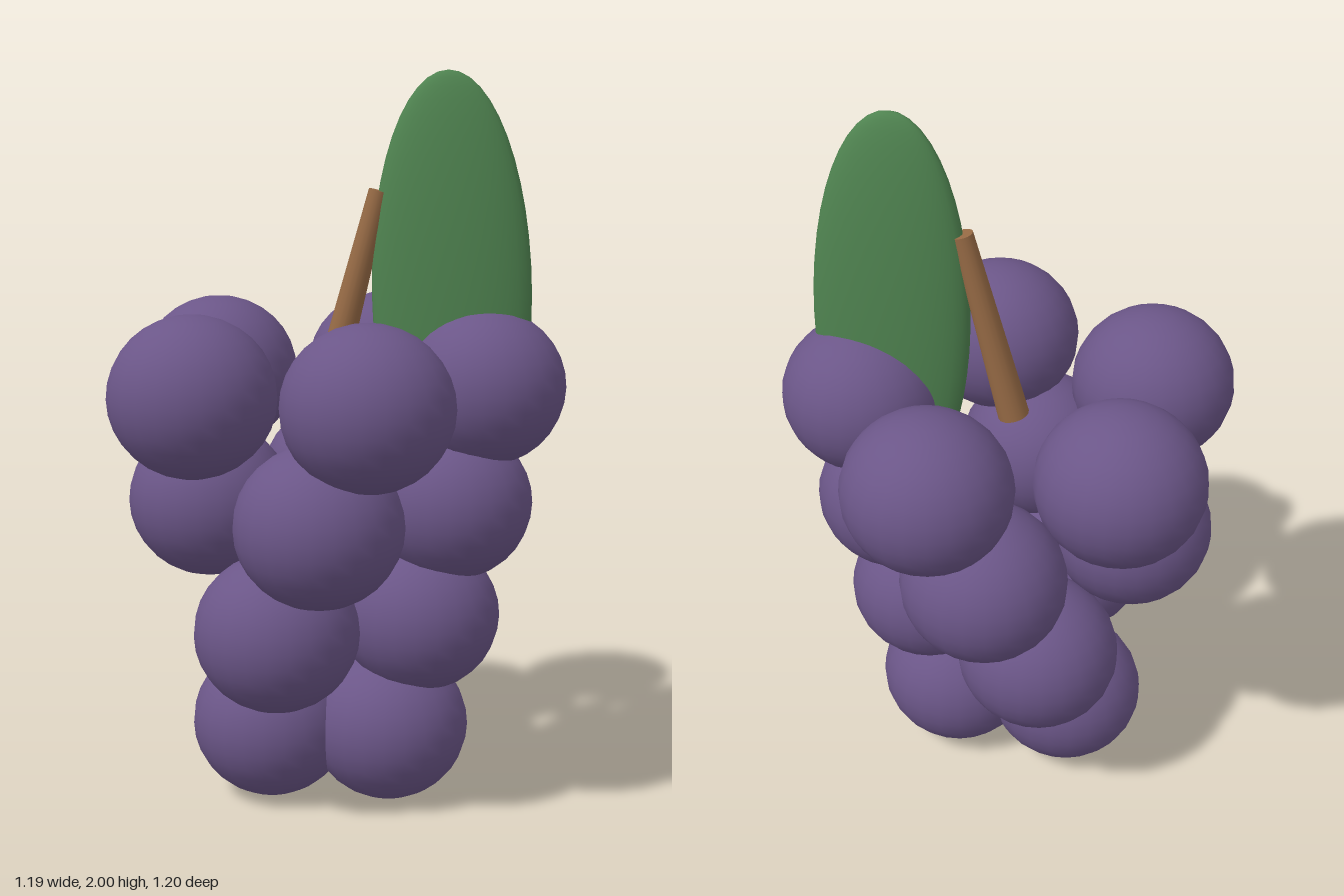
import * as THREE from 'three';

const mat = (name, color) => {
  const m = new THREE.MeshStandardMaterial({ color });
  m.name = name;
  return m;
};

export function createModel() {
  const model = new THREE.Group();
  model.name = 'grapeBunch';
  const purple = mat('grapePurple', 0x6b5688);
  const brown = mat('stemBrown', 0x966a45);
  const green = mat('leafGreen', 0x4f8350);
  const add = (parent, name, geometry, material) => {
    const mesh = new THREE.Mesh(geometry, material);
    mesh.name = name;
    parent.add(mesh);
    return mesh;
  };

  // Grapes: rings of 2, 3, 4 and 5 berries, widening upward
  const axisX = -0.04;
  const berry = new THREE.SphereGeometry(1, 24, 16).scale(0.222, 0.214, 0.216);
  for (let row = 0; row < 4; row++) {
    const ring = new THREE.Group();
    ring.name = `grapeRow${row + 1}`;
    const count = row + 2;
    const radius = 0.163 + row * 0.084;
    for (let i = 0; i < count; i++) {
      const a = (i / count) * Math.PI * 2;
      add(ring, 'grape', berry, purple).position.set(
        axisX + Math.cos(a) * radius, 0.214 + row * 0.318, Math.sin(a) * radius * 0.973);
    }
    model.add(ring);
  }

  // Stem: tapered and leaning toward the leaf
  const base = new THREE.Vector3(-0.042, 1.165, 0);
  const tip = new THREE.Vector3(0.093, 1.688, 0);
  const along = tip.clone().sub(base);
  const stem = add(model, 'stem', new THREE.CylinderGeometry(0.028, 0.042, along.length(), 16), brown);
  stem.position.copy(base).add(tip).multiplyScalar(0.5);
  stem.quaternion.setFromUnitVectors(new THREE.Vector3(0, 1, 0), along.normalize());

  // Leaf: thin upright ellipsoid, sheared slightly toward the stem
  const leafGeometry = new THREE.SphereGeometry(1, 32, 24).scale(0.213, 0.58, 0.07);
  leafGeometry.applyMatrix4(new THREE.Matrix4().set(
    1, -0.025, 0, 0,
    0, 1, 0, 0,
    0, 0, 1, 0,
    0, 0, 0, 1));
  add(model, 'leaf', leafGeometry, green).position.set(0.287, 1.42, 0);

  return model;
}
